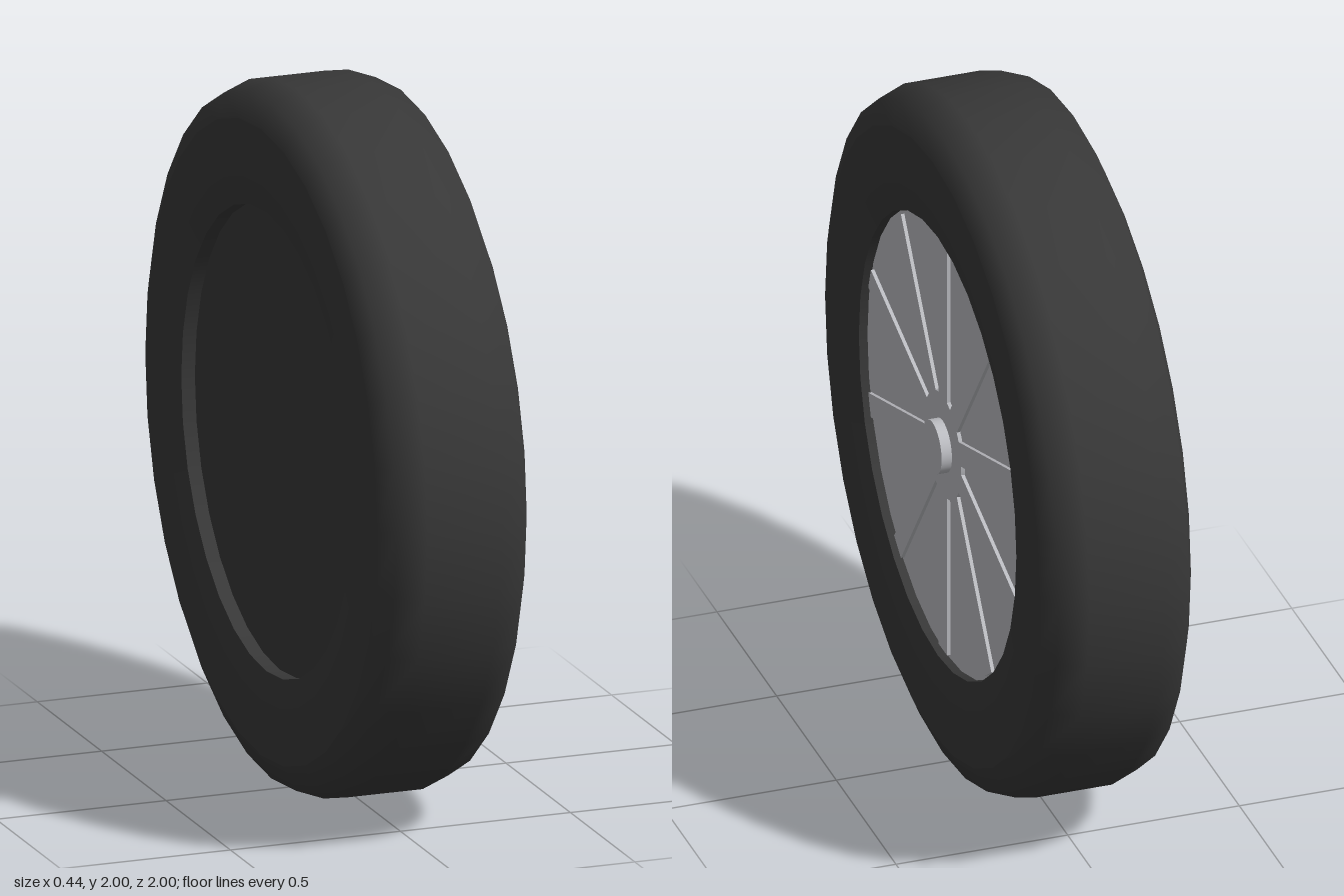
import * as THREE from 'three';
import { mergeGeometries } from 'three/addons/utils/BufferGeometryUtils.js';

const SIDES = 32;

export function createModel() {
  const rubber = new THREE.MeshStandardMaterial({ color: 0x383838 });
  rubber.name = 'dark rubber';
  const metal = new THREE.MeshStandardMaterial({ color: 0xbcbdc2 });
  metal.name = 'silver metal';

  const root = new THREE.Group();
  root.name = 'wheel';
  // The wheel is made around y, then turned so its outer face looks to +x
  const axle = new THREE.Group();
  axle.name = 'wheelAssembly';
  axle.rotation.z = -Math.PI / 2;
  axle.position.y = 1;
  root.add(axle);

  const add = (name, geometry, material, y = 0) => {
    const mesh = new THREE.Mesh(geometry, material);
    mesh.name = name;
    mesh.position.y = y;
    axle.add(mesh);
    return mesh;
  };

  // Tyre: each run of [radius, offset] is smooth, with a crease between runs
  const runs = [
    [[0.66, -0.165], [0.66, -0.205]],
    [[0.66, -0.205], [0.74, -0.22]],
    [[0.74, -0.22], [0.9, -0.22]],
    [[0.9, -0.22], [0.97, -0.19], [1, -0.11], [1, 0.11], [0.97, 0.19], [0.9, 0.22]],
    [[0.9, 0.22], [0.74, 0.22]],
    [[0.74, 0.22], [0.66, 0.205]],
    [[0.66, 0.205], [0.66, 0.18]],
  ];
  const lathe = (run) =>
    new THREE.LatheGeometry(run.map(([r, y]) => new THREE.Vector2(r, y)), SIDES);
  add('tyre', mergeGeometries(runs.map(lathe)), rubber);

  // Discs closing the inner and outer sides
  add('backPlate', new THREE.CylinderGeometry(0.66, 0.66, 0.1, SIDES), rubber, -0.115);
  add('rimDisc', new THREE.CylinderGeometry(0.66, 0.66, 0.1, SIDES), metal, 0.13);

  // Ten low spokes around a flat hub
  for (let i = 0; i < 10; i++) {
    const spoke = new THREE.BoxGeometry(0.07, 0.02, 0.545);
    spoke.translate(0, 0, 0.3725);
    add('spoke', spoke, metal, 0.18).rotation.y = (i * Math.PI) / 5 + Math.PI / 2;
  }
  add('hub', new THREE.CylinderGeometry(0.155, 0.16, 0.02, SIDES), metal, 0.18);
  add('hubCap', new THREE.CylinderGeometry(0.077, 0.077, 0.05, SIDES), metal, 0.195);

  return root;
}
